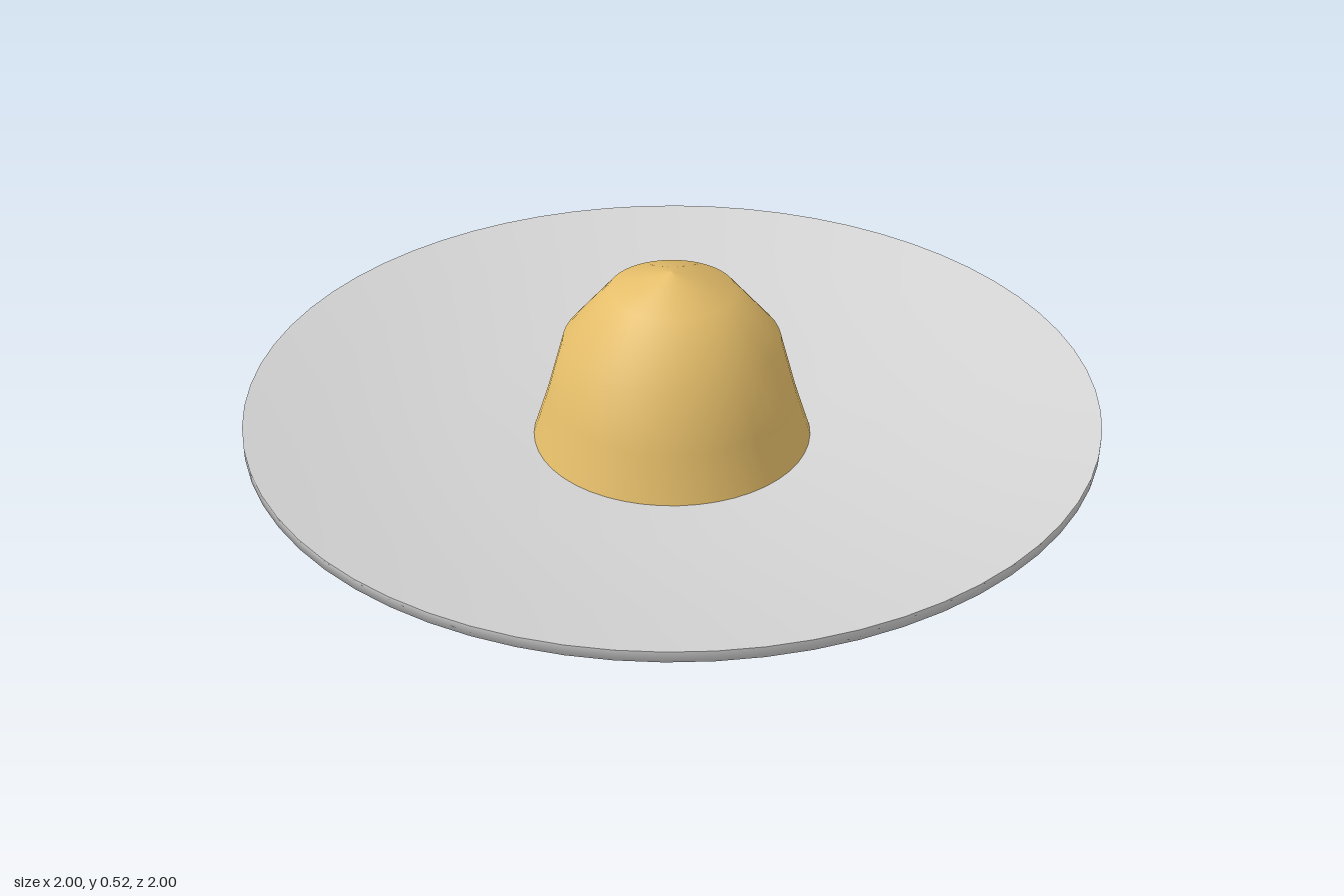
import * as THREE from 'three';

export function createModel() {
  const group = new THREE.Group();
  group.name = 'dishWithDome';

  const grey = new THREE.MeshStandardMaterial({ color: 0xd4d4d4 });
  grey.name = 'pale grey';
  const gold = new THREE.MeshStandardMaterial({ color: 0xe4bd69 });
  gold.name = 'warm gold';

  // Turned surface; the profile runs up the outside and in over the top
  const turn = (name, material, profile, sides) => {
    const points = profile.map(([r, y]) => new THREE.Vector2(r, y));
    const mesh = new THREE.Mesh(new THREE.LatheGeometry(points, sides), material);
    mesh.name = name;
    group.add(mesh);
  };

  // Dish body: flat base, flared wall and thin upright rim, softly shaded
  turn('dishUnderside', grey, [[0, 0], [0.65, 0], [1, 0.19], [1, 0.215]], 64);

  // Dish top: a shallow bowl from the rim in to the foot of the dome
  const bowl = [1, 0.83, 0.66, 0.5, 0.32].map((r) => [r, 0.086 + 0.129 * r * r]);
  turn('dishTop', grey, bowl, 64);

  // Dome: banded cap on a wall that widens down to the dish
  turn('dome', gold, [[0.33, 0.1], [0.294, 0.21], [0.255, 0.352], [0.147, 0.478], [0, 0.522]], 48);

  return group;
}
